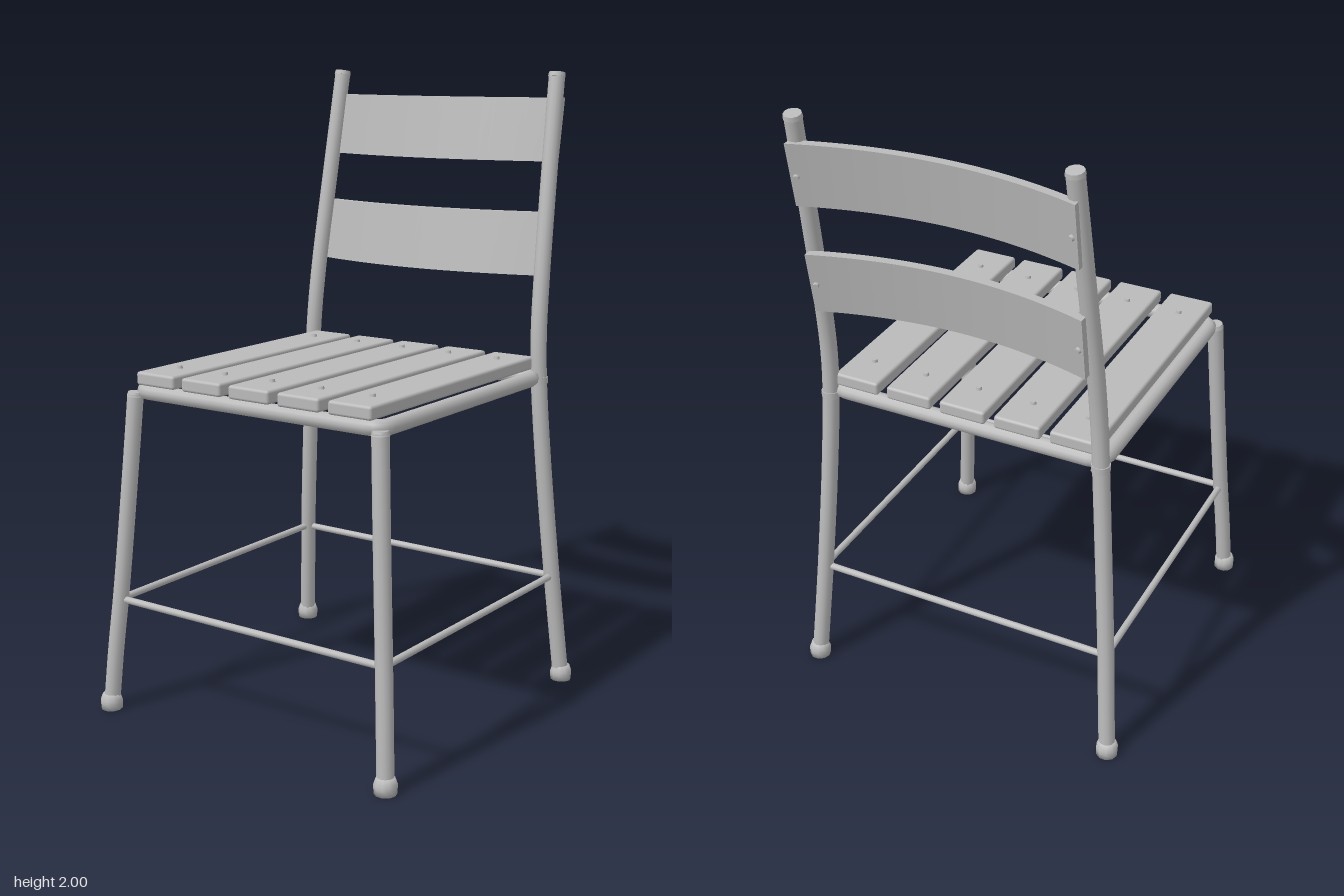
import * as THREE from 'three';
import { RoundedBoxGeometry } from 'three/addons/geometries/RoundedBoxGeometry.js';

export function createModel() {
  const chair = new THREE.Group();
  chair.name = 'slattedChair';
  const grey = new THREE.MeshStandardMaterial({ color: 0xbababa });
  grey.name = 'grey';

  const add = (name, geometry, x = 0, y = 0, z = 0) => {
    const mesh = new THREE.Mesh(geometry, grey);
    mesh.name = name;
    mesh.position.set(x, y, z);
    chair.add(mesh);
    return mesh;
  };
  const tube = (name, points, radius, steps = 32) => {
    const curve = new THREE.CatmullRomCurve3(points.map(p => new THREE.Vector3(...p)));
    return add(name, new THREE.TubeGeometry(curve, steps, radius, 12));
  };
  // Short cylinder turned to lie along a direction
  const disc = (name, top, bottom, height, at, direction, sides = 12) => {
    const mesh = add(name, new THREE.CylinderGeometry(top, bottom, height, sides), ...at);
    mesh.quaternion.setFromUnitVectors(
      new THREE.Vector3(0, 1, 0), new THREE.Vector3(...direction).normalize());
    return mesh;
  };

  // Legs: the back pair runs up into the backrest posts
  for (const s of [1, -1]) {
    tube('frontLeg', [
      [-0.562, 0.02, s * 0.528], [-0.549, 0.2, s * 0.516], [-0.532, 0.4, s * 0.5],
      [-0.508, 0.75, s * 0.475], [-0.49, 1.025, s * 0.457]], 0.026);
    disc('frontLegCap', 0.024, 0.028, 0.014, [-0.489, 1.025, s * 0.457], [0.07, 1, -s * 0.06]);

    tube('backLeg', [
      [0.488, 0.02, s * 0.528], [0.472, 0.2, s * 0.514], [0.455, 0.4, s * 0.499],
      [0.434, 0.75, s * 0.472], [0.425, 1.03, s * 0.453], [0.43, 1.18, s * 0.446],
      [0.452, 1.36, s * 0.44], [0.497, 1.63, s * 0.43], [0.56, 1.988, s * 0.418]], 0.026, 48);
    disc('postCap', 0.026, 0.028, 0.014, [0.56, 1.989, s * 0.418], [0.17, 1, -s * 0.03]);

    // Feet
    for (const x of [-0.563, 0.489]) {
      add('foot', new THREE.LatheGeometry([
        [0, 0], [0.034, 0], [0.035, 0.02], [0.035, 0.03], [0.028, 0.05], [0, 0.05]
      ].map(p => new THREE.Vector2(...p)), 10), x, 0, s * 0.529);
    }

    // Side stretcher
    tube('sideStretcher', [[-0.535, 0.365, s * 0.502], [0.457, 0.365, s * 0.502]], 0.011, 1);
    // Collar where the seat frame meets the back post
    disc('frameCollar', 0.029, 0.029, 0.022, [0.425, 1.025, s * 0.453], [0, 1, 0]);
  }

  // Cross stretchers
  for (const x of [-0.535, 0.457])
    tube('crossStretcher', [[x, 0.365, -0.502], [x, 0.365, 0.502]], 0.011, 1);

  // Seat frame: a closed tube with rounded corners
  const corners = [[-0.477, -0.45], [0.41, -0.45], [0.41, 0.45], [-0.477, 0.45]]
    .map(([x, z]) => new THREE.Vector3(x, 1.034, z));
  const frame = new THREE.CurvePath();
  const toward = (a, b) => a.clone().add(b.clone().sub(a).setLength(0.045));
  corners.forEach((corner, i) => {
    const previous = corners[(i + 3) % 4], next = corners[(i + 1) % 4];
    const start = toward(corner, previous), end = toward(corner, next);
    frame.add(new THREE.QuadraticBezierCurve3(start, corner, end));
    frame.add(new THREE.LineCurve3(end, toward(next, corner)));
  });
  add('seatFrame', new THREE.TubeGeometry(frame, 160, 0.025, 12, true));

  // Seat slats with rivets
  for (let i = -2; i <= 2; i++) {
    const z = i * 0.181 - 0.002;
    add('seatSlat', new RoundedBoxGeometry(0.932, 0.042, 0.15, 2, 0.009), -0.039, 1.079, z);
    for (const x of [-0.387, 0.313])
      disc('seatRivet', 0.008, 0.01, 0.01, [x, 1.104, z], [0, 1, 0]);
  }

  // Backrest slats: boxes bowed toward the seat and leaning with the posts
  for (const [x, y] of [[0.487, 1.816], [0.432, 1.455]]) {
    const geometry = new THREE.BoxGeometry(0.03, 0.2, 0.865, 1, 1, 24);
    const p = geometry.attributes.position;
    for (let i = 0; i < p.count; i++)
      p.setX(i, p.getX(i) + 0.072 * (p.getZ(i) / 0.43) ** 2 + 0.17 * p.getY(i));
    geometry.computeVertexNormals();
    add('backSlat', geometry, x, y, 0);
    for (const s of [1, -1])
      disc('backRivet', 0.008, 0.01, 0.012, [x + 0.084, y - 0.005, s * 0.415], [1, -0.17, -s * 0.3]);
  }

  return chair;
}
